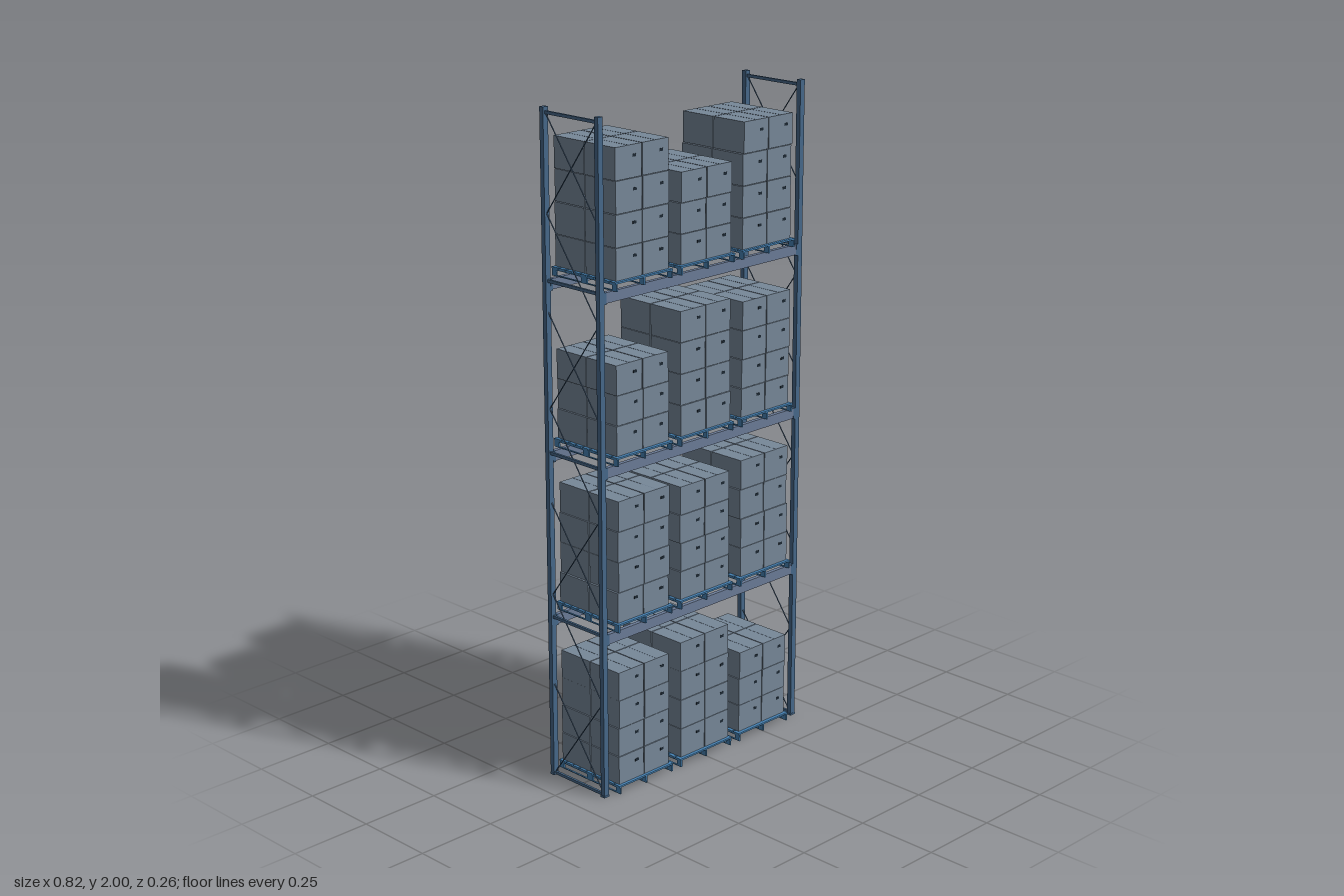
import * as THREE from 'three';

const mat = (color) => new THREE.MeshStandardMaterial({ color });
const steel = mat(0x46688a);
const beamMat = mat(0x6b7c98);
const palletMat = mat(0x4682b4);
const cartonMat = mat(0x778899);
const seamMat = mat(0x66788a);
const holeMat = mat(0x1c2833);

function box(parent, name, material, size, pos) {
  const m = new THREE.Mesh(new THREE.BoxGeometry(...size), material);
  m.name = name;
  m.position.set(...pos);
  parent.add(m);
  return m;
}

// Thin round rod between two points
function rod(parent, name, a, b, r) {
  const va = new THREE.Vector3(...a), vb = new THREE.Vector3(...b);
  const m = new THREE.Mesh(new THREE.CylinderGeometry(r, r, va.distanceTo(vb), 6), steel);
  m.name = name;
  m.position.copy(va).add(vb).multiplyScalar(0.5);
  m.quaternion.setFromUnitVectors(new THREE.Vector3(0, 1, 0), vb.sub(va).normalize());
  parent.add(m);
}

const POST_X = 0.402, POST_Z = 0.108;
const FLOORS = [0, 0.508, 1.01, 1.515];

// Upright end frame: two posts, rails and diagonal bracing
function endFrame(side) {
  const g = new THREE.Group();
  g.name = side > 0 ? 'leftEndFrame' : 'rightEndFrame';
  const x = side * POST_X;
  for (const s of [-1, 1]) {
    box(g, 'post', steel, [0.018, 2, 0.015], [x, 1, s * POST_Z]);
    box(g, 'footPlate', steel, [0.02, 0.006, 0.017], [x, 0.003, s * POST_Z]);
  }
  for (const y of [0.006, 0.505, 1.007, 1.512, 1.985])
    box(g, 'rail', steel, [0.007, 0.009, 2 * POST_Z], [x, y, 0]);
  // Crossed and single diagonals alternate up the frame
  const n = 7, h = 1.975 / n;
  for (let i = 0; i < n; i++) {
    const y0 = 0.01 + i * h, y1 = y0 + h, z = POST_Z - 0.006;
    rod(g, 'diagonalBrace', [x, y0, z], [x, y1, -z], 0.0018);
    if (i % 2 === 0) rod(g, 'crossBrace', [x, y0, -z], [x, y1, z], 0.0018);
  }
  return g;
}

// Beams across the bay with a bracket at each end
function shelfBeams(y) {
  const g = new THREE.Group();
  g.name = 'shelfBeams';
  for (const s of [-1, 1]) {
    box(g, 'beam', beamMat, [0.79, 0.031, 0.013], [0, y - 0.0155, s * POST_Z]);
    for (const e of [-1, 1])
      box(g, 'beamBracket', steel, [0.008, 0.034, 0.016], [e * 0.389, y - 0.0165, s * POST_Z]);
  }
  return g;
}

// Side runner of a pallet, with two fork openings
function runnerGeometry() {
  const L = 0.13, t = 0.005;
  const s = new THREE.Shape();
  s.moveTo(-L, 0); s.lineTo(L, 0); s.lineTo(L, 0.021); s.lineTo(-L, 0.021); s.closePath();
  for (const k of [-1, 1]) {
    const hole = new THREE.Path(), a = Math.min(k * 0.012, k * 0.112), b = a + 0.1;
    hole.moveTo(a, 0.003); hole.lineTo(a, 0.017); hole.lineTo(b, 0.017); hole.lineTo(b, 0.003);
    hole.closePath();
    s.holes.push(hole);
  }
  const geo = new THREE.ExtrudeGeometry(s, { depth: t, bevelEnabled: false });
  geo.translate(0, 0, -t / 2);
  geo.rotateY(Math.PI / 2);
  return geo;
}

function pallet() {
  const g = new THREE.Group();
  g.name = 'pallet';
  const geo = runnerGeometry();
  for (const x of [-0.106, 0, 0.106]) {
    const m = new THREE.Mesh(geo, palletMat);
    m.name = 'runner';
    m.position.x = x;
    g.add(m);
  }
  const n = 9, pitch = 0.264 / n;
  for (let i = 0; i < n; i++)
    box(g, 'deckBoard', palletMat, [0.221, 0.005, pitch - 0.005], [0, 0.0235, (i - (n - 1) / 2) * pitch]);
  return g;
}

// One carton: body, seam on the lid and hand hole on the front
function carton(h) {
  const g = new THREE.Group();
  g.name = 'carton';
  box(g, 'cartonBody', cartonMat, [0.1, h - 0.0015, 0.12], [0, h / 2, 0]);
  box(g, 'lidSeam', seamMat, [0.002, 0.0006, 0.12], [0, h - 0.0006, 0]);
  box(g, 'handHole', holeMat, [0.014, 0.008, 0.0012], [0.022, h - 0.031, 0.06]);
  return g;
}

// Small repeatable offset so the layers are not perfectly aligned
let seed = 7;
const jitter = (a) => {
  seed = (seed * 16807) % 2147483647;
  return (seed / 2147483647 - 0.5) * 2 * a;
};

// Two by two cartons per layer
function stack(layers, height) {
  const g = new THREE.Group();
  g.name = 'cartonStack';
  const h = height / layers;
  for (let i = 0; i < layers; i++) {
    const dx = jitter(0.0025), dz = jitter(0.001);
    for (const x of [-1, 1]) for (const z of [-1, 1]) {
      const c = carton(h);
      c.position.set(x * 0.0515 + dx, i * h, z * 0.0615 - 0.001 + dz);
      g.add(c);
    }
  }
  return g;
}

// [layers, stack height] for each pallet, floor by floor
const LOADS = [
  [[4, 0.354], [4, 0.372], [3, 0.262]],
  [[4, 0.369], [4, 0.35], [4, 0.369]],
  [[3, 0.266], [4, 0.372], [4, 0.351]],
  [[4, 0.371], [3, 0.266], [4, 0.371]],
];

export function createModel() {
  const model = new THREE.Group();
  model.name = 'palletRack';
  model.add(endFrame(-1), endFrame(1));
  FLOORS.forEach((y, f) => {
    if (f > 0) model.add(shelfBeams(y));
    LOADS[f].forEach(([layers, height], i) => {
      const load = new THREE.Group();
      load.name = 'loadedPallet';
      load.position.set((i - 1) * 0.2525, y, 0);
      const cartons = stack(layers, height);
      cartons.position.y = 0.026;
      load.add(pallet(), cartons);
      model.add(load);
    });
  });
  return model;
}
